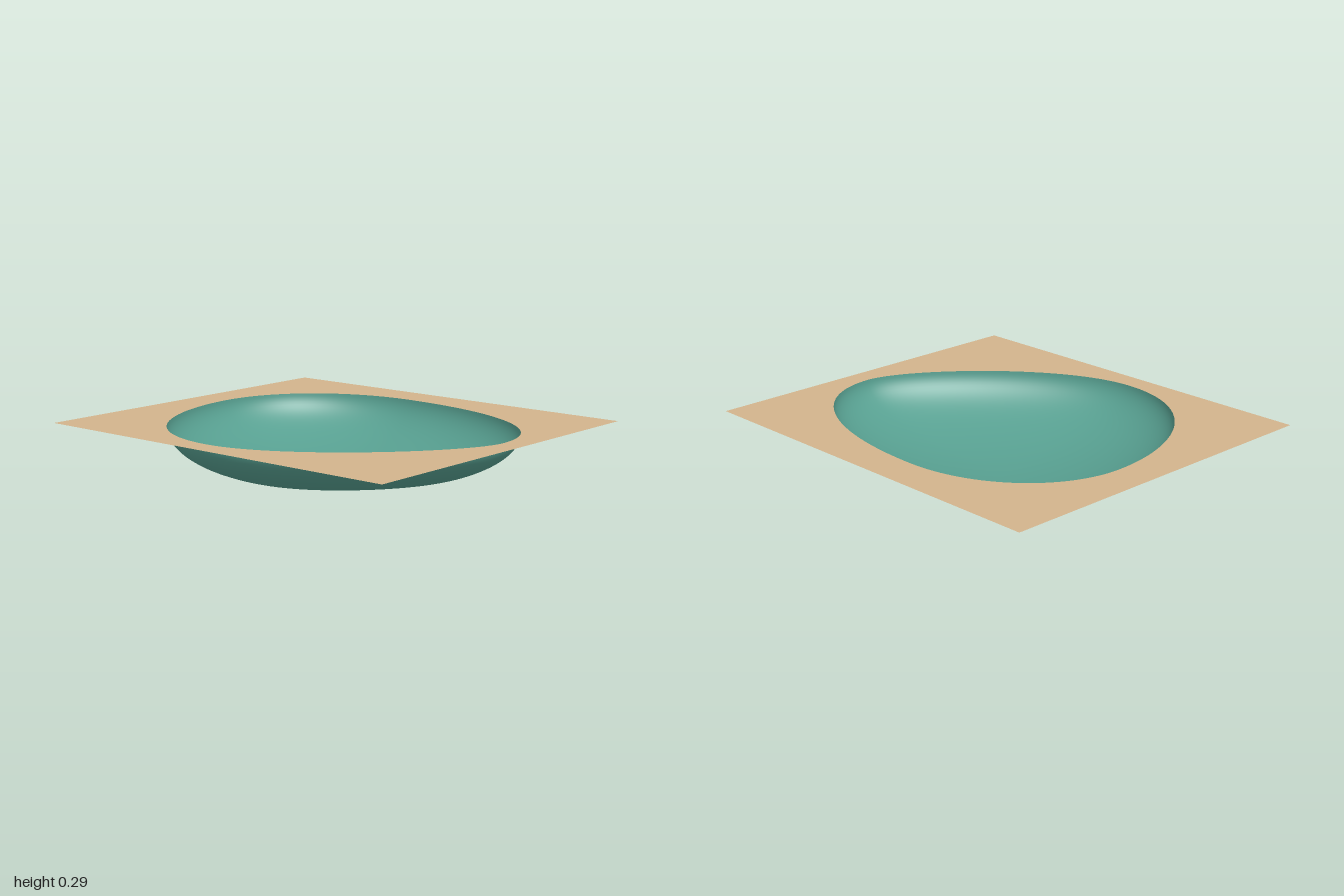
import * as THREE from 'three';

const RIM = 0.29; // height of the sheet and depth of the basin

// Egg-like outline in plan, drawn as (x, z), from four smooth quadrants
function traceOutline(path) {
  path.moveTo(0.1, -0.82);
  path.bezierCurveTo(0.44, -0.82, 0.705, -0.52, 0.705, -0.13);
  path.bezierCurveTo(0.705, 0.47, 0.46, 0.89, 0.1, 0.89);
  path.bezierCurveTo(-0.16, 0.89, -0.78, 0.36, -0.78, -0.09);
  path.bezierCurveTo(-0.78, -0.56, -0.3, -0.82, 0.1, -0.82);
  return path;
}

// Rounded bowl: the outline shrinks to the lowest point along a quarter ellipse
function bowlGeometry(outline, rings) {
  const n = outline.length;
  const positions = [0, 0, 0];
  const index = [];
  for (let r = 1; r <= rings; r++) {
    const a = (r / rings) * Math.PI / 2;
    for (const p of outline) {
      positions.push(p.x * Math.sin(a), RIM * (1 - Math.cos(a)), p.y * Math.sin(a));
    }
  }
  for (let i = 0; i < n; i++) {
    const j = (i + 1) % n;
    index.push(0, 1 + j, 1 + i);
    for (let r = 0; r < rings - 1; r++) {
      const a = 1 + r * n + i, b = 1 + r * n + j;
      index.push(a, b, a + n, b, b + n, a + n);
    }
  }
  const geometry = new THREE.BufferGeometry();
  geometry.setAttribute('position', new THREE.Float32BufferAttribute(positions, 3));
  geometry.setIndex(index);
  geometry.computeVertexNormals();
  return geometry;
}

export function createModel() {
  const group = new THREE.Group();
  group.name = 'basinInSheet';

  const tan = new THREE.MeshStandardMaterial({ color: 0xd2b48c, side: THREE.DoubleSide });
  tan.name = 'tan';
  const teal = new THREE.MeshStandardMaterial({ color: 0x579f90, side: THREE.DoubleSide });
  teal.name = 'teal';

  const hole = traceOutline(new THREE.Path());

  // Flat sheet with the opening cut out
  const sheetShape = new THREE.Shape([
    new THREE.Vector2(-0.89, -1), new THREE.Vector2(0.89, -1),
    new THREE.Vector2(0.89, 1), new THREE.Vector2(-0.89, 1),
  ]);
  sheetShape.holes.push(hole);
  const sheet = new THREE.Mesh(new THREE.ShapeGeometry(sheetShape, 32), tan);
  sheet.geometry.rotateX(Math.PI / 2);
  sheet.position.y = RIM;
  sheet.name = 'sheet';
  group.add(sheet);

  // Basin hanging below the opening
  const outline = hole.getPoints(32).slice(0, -1);
  const basin = new THREE.Mesh(bowlGeometry(outline, 32), teal);
  basin.name = 'basin';
  group.add(basin);

  return group;
}
